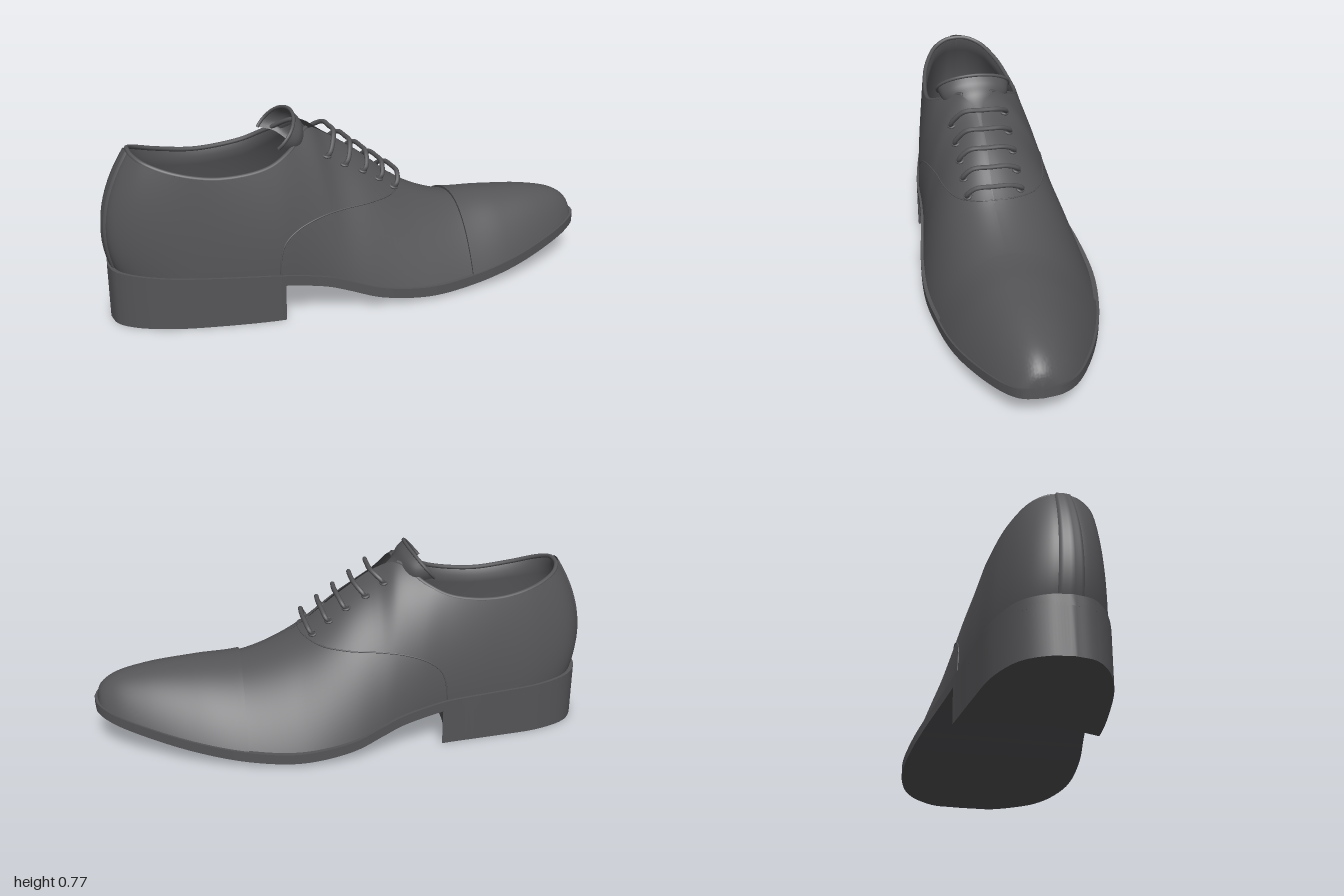
import * as THREE from 'three';
import { mergeGeometries, mergeVertices, toCreasedNormals } from 'three/addons/utils/BufferGeometryUtils.js';

const V = (x, y, z) => new THREE.Vector3(x, y, z);
const lerp = THREE.MathUtils.lerp;
const clamp = THREE.MathUtils.clamp;

// Stations from heel to toe, outline on the sole: x, z right, z left, height of the sole's top
const OUTLINE = [
  [-1, .03, .03, .22], [-.985, -.05, .1, .219], [-.93, -.13, .157, .215], [-.8, -.19, .22, .207],
  [-.6, -.22, .268, .198], [-.4, -.243, .298, .187], [-.3, -.26, .3, .172], [-.2, -.282, .307, .152],
  [-.12, -.305, .318, .126], [0, -.335, .337, .086], [.2, -.348, .347, .058], [.4, -.318, .327, .064],
  [.6, -.26, .292, .092], [.8, -.173, .225, .133], [.93, -.092, .16, .163], [.985, -.027, .112, .18], [1, .045, .045, .184],
];
// Matching upper edge (collar, then lacing gap, then ridge): x, y, z right, z left, roundness
const TOP = [
  [-.9, .665, .035, .035, 0], [-.895, .66, -.015, .085, 0], [-.86, .64, -.075, .145, 0], [-.76, .605, -.13, .2, 0],
  [-.6, .577, -.158, .232, 0], [-.42, .595, -.152, .238, 0], [-.325, .637, -.115, .208, .2], [-.22, .7, -.008, .122, .5],
  [-.145, .662, .048, .074, .7], [0, .565, .052, .068, .85], [.196, .415, .058, .058, 1], [.392, .333, .05, .05, 1],
  [.588, .317, .047, .047, 1], [.784, .298, .045, .045, 1], [.911, .268, .045, .045, 1], [.965, .228, .045, .045, 1],
  [.98, .186, .045, .045, 1],
];
const N = OUTLINE.length - 1;
const SIDES = [1, 2].map(i => ({
  sole: new THREE.CatmullRomCurve3(OUTLINE.map(p => V(p[0], p[3], p[i]))),
  base: new THREE.CatmullRomCurve3(OUTLINE.map(p => V(p[0] * .98, p[3] - .01, .04 + (p[i] - .04) * .965))),
  top: new THREE.CatmullRomCurve3(TOP.map(p => V(p[0], p[1], p[i + 1]))),
}));

// Point of the upper: u runs heel to toe, v from sole to top edge, off pushes outwards
function upper(side, u, v, off = 0) {
  const { base, top } = SIDES[side];
  const a = base.getPoint(u), d = top.getPoint(u);
  const i = Math.min(Math.floor(u * N), N - 1);
  const k = lerp(TOP[i][4], TOP[i + 1][4], u * N - i);
  const mix = (out, up) => V(lerp(d.x, a.x, out), lerp(a.y, d.y, up), lerp(d.z, a.z, out));
  const b = mix(lerp(1.02, .88, k), .3), c = mix(lerp(.66, .54, k), lerp(.66, 1, k));
  const bulge = .05 * clamp((-.7 - a.x) / .28, 0, 1);
  b.x -= bulge; c.x -= bulge;
  const p = new THREE.CubicBezierCurve3(a, b, c, d).getPoint(v);
  if (off) p.addScaledVector(p.clone().sub(V(clamp(p.x, -.6, .75), .15, .045)).normalize(), off);
  return p;
}

// Bisection for a rising function on 0..1
function solve(f, target) {
  let lo = 0, hi = 1;
  for (let i = 0; i < 30; i++) {
    const m = (lo + hi) / 2;
    if (f(m) < target) lo = m; else hi = m;
  }
  return (lo + hi) / 2;
}
const uAt = x => solve(u => SIDES[0].base.getPoint(u).x, x);

// Surface from f(i, j) in 0..1
function grid(nu, nv, f, flip = false) {
  const pos = [], idx = [];
  for (let i = 0; i <= nu; i++) for (let j = 0; j <= nv; j++) pos.push(...f(i / nu, j / nv).toArray());
  for (let i = 0; i < nu; i++) for (let j = 0; j < nv; j++) {
    const a = i * (nv + 1) + j, b = a + 1, c = a + nv + 1, d = c + 1;
    idx.push(...(flip ? [a, b, c, b, d, c] : [a, c, b, b, c, d]));
  }
  const g = new THREE.BufferGeometry();
  g.setAttribute('position', new THREE.Float32BufferAttribute(pos, 3));
  g.setIndex(idx);
  g.computeVertexNormals();
  return g;
}

// Mirrored pair of surfaces, joined smoothly where they meet
function pair(nu, nv, f) {
  const halves = [0, 1].map(s => grid(nu, nv, (i, j) => f(s, i, j), s === 1));
  halves.forEach(g => g.deleteAttribute('normal'));
  const g = mergeVertices(mergeGeometries(halves), 1e-4);
  g.computeVertexNormals();
  return g;
}

export function createModel() {
  const model = new THREE.Group();
  model.name = 'shoe';
  const leather = new THREE.MeshStandardMaterial({ color: 0x555558, side: THREE.DoubleSide });
  const add = (name, geo) => {
    const m = new THREE.Mesh(geo, leather);
    m.name = name;
    model.add(m);
    return m;
  };
  const tube = (name, pts, r, n = 40) =>
    add(name, new THREE.TubeGeometry(new THREE.CatmullRomCurve3(pts), n, r, 8));

  // Sole: four-cornered section along the outline
  add('sole', toCreasedNormals(grid(110, 4, (u, w) => {
    const c = Math.round(w * 4) % 4;
    const p = SIDES[c === 1 || c === 2 ? 1 : 0].sole.getPoint(u);
    if (c < 2) p.y -= .04;
    return p;
  }), .6));

  // Heel block with a hollowed front, its top following the sole
  const uHeel = solve(u => SIDES[0].sole.getPoint(u).x, -.375);
  const rim = s => Array.from({ length: 41 }, (_, i) => SIDES[s].sole.getPoint(uHeel * i / 40));
  const right = rim(0), left = rim(1);
  const heelShape = new THREE.Shape([...right.reverse(), ...left.slice(1)].map(p => new THREE.Vector2(p.x, -p.z)));
  heelShape.quadraticCurveTo(-.48, -.025, right[0].x, -right[0].z);
  const heel = new THREE.ExtrudeGeometry(heelShape, { depth: 1, bevelEnabled: false, curveSegments: 20 });
  heel.rotateX(-Math.PI / 2);
  const hp = heel.attributes.position;
  for (let i = 0; i < hp.count; i++) if (hp.getY(i) > .5) {
    const u = solve(t => SIDES[0].sole.getPoint(t).x, hp.getX(i));
    hp.setY(i, SIDES[0].sole.getPoint(u).y - .03);
  }
  add('heel', toCreasedNormals(heel, .6));

  // Upper, with overlaid toe cap (sharp step at its rear edge) and back strip
  add('upper', pair(120, 24, (s, u, v) => upper(s, u, v)));
  const uCap = uAt(.41);
  add('toeCap', toCreasedNormals(pair(45, 24, (s, u, v) =>
    upper(s, lerp(uCap, 1, Math.max(0, (u * 45 - 1) / 44)), v, u === 0 ? 0 : .009)), .8));
  add('backStrip', pair(6, 20, (s, u, v) => upper(s, u * .6 / N, v, u > .99 ? 0 : .008)));

  // Lining and collar rim
  const uCollar = 7 / N;
  const inset = (p, d) => p.addScaledVector(V(clamp(p.x, -.72, -.3), p.y, .04).sub(p).normalize(), d);
  add('lining', pair(60, 12, (s, u, v) => inset(upper(s, u * uCollar, 1 - v), v === 0 ? 0 : .022)));
  const collar = [];
  for (let i = -40; i <= 40; i++) collar.push(inset(upper(i < 0 ? 0 : 1, Math.abs(i) / 40 * uCollar, 1), .009));
  tube('collarRim', collar, .009, 120);

  // Seam between vamp and quarters, on both sides
  const onHeight = (s, x, y) => {
    const u = uAt(x);
    return upper(s, u, solve(v => upper(s, u, v).y, y));
  };
  const seam = [[.172, .6], [.16, .425], [.1, .41], [0, .404], [-.12, .4], [-.22, .388], [-.31, .355], [-.365, .31], [-.387, .25], [-.39, .19]];
  for (const s of [0, 1]) tube('quarterSeam', seam.map(([x, y]) => onHeight(s, x, y)), .003, 70);

  // Tongue: arched sheet under the lacing, curling down at its sides above the collar
  const spine = new THREE.CatmullRomCurve3([
    V(.16, .41, .05), V(0, .54, .06), V(-.14, .635, .065), V(-.215, .69, .09), V(-.245, .735, .135), V(-.27, .76, .15)]);
  const tongue = (b, a) => {
    const p = spine.getPoint(b), w = p.z, phi = (a * 2 - 1) * 1.9, bend = 1 - Math.cos(phi);
    return V(p.x - bend * lerp(.01, .068, b ** 3), p.y - bend * lerp(.05, .078, b), .052 + Math.sin(phi) * w);
  };
  add('tongue', grid(30, 28, tongue));
  tube('tongueEdge', Array.from({ length: 21 }, (_, i) => tongue(1, i / 20)), .007);

  // Laces with an eyelet at each end
  for (let i = 0; i < 5; i++) {
    const x = lerp(-.145, .122, i / 4), u = uAt(x);
    const at = (z, off) => {
      const s = z > .06 ? 1 : 0, sign = s ? -1 : 1;
      return upper(s, u, solve(v => sign * upper(s, u, v).z, sign * z), off);
    };
    const ends = [lerp(.168, .152, i / 4), lerp(-.048, -.055, i / 4)].map(z => at(z, .003));
    ends.forEach(p => {
      const ring = add('eyelet', new THREE.TorusGeometry(.014, .005, 8, 18));
      ring.position.copy(p);
      ring.lookAt(p.clone().add(p.clone().sub(V(x - .08, .15, .045))));
    });
    const mid = V(x + .03, lerp(.679, .48, i / 4), .055);
    const lift = (p, dx, dy, dz) => p.clone().add(V(dx, dy, dz));
    tube('lace', [
      lift(ends[0], -.006, -.01, -.004), lift(ends[0], .012, .012, .006), lift(mid, -.004, -.004, .07), mid,
      lift(mid, -.004, -.004, -.07), lift(ends[1], .012, .012, -.006), lift(ends[1], -.006, -.01, .004),
    ], .0095);
  }
  return model;
}
